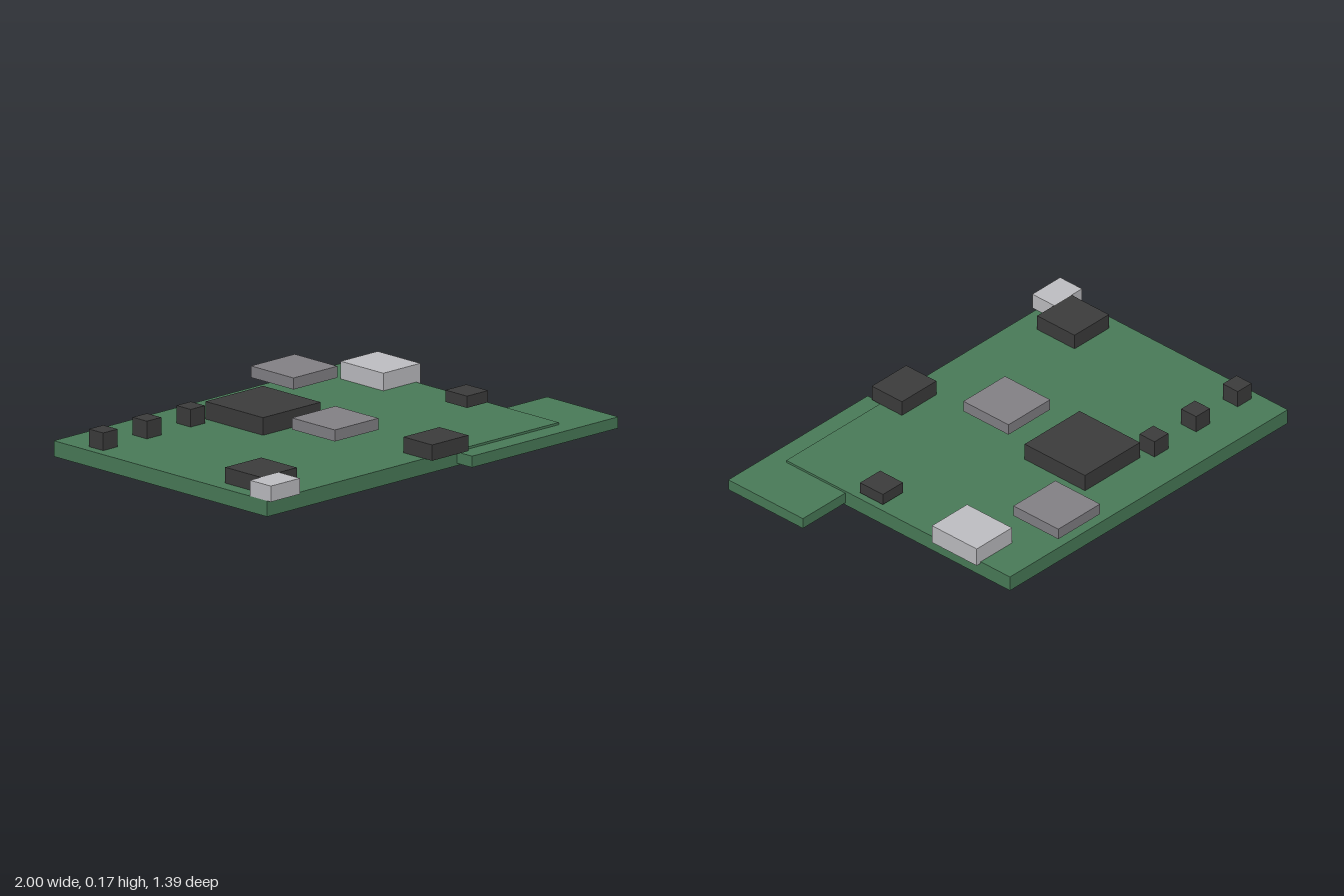
import * as THREE from 'three';

const material = (name, color) => {
  const m = new THREE.MeshStandardMaterial({ color });
  m.name = name;
  return m;
};

export function createModel() {
  const model = new THREE.Group();
  model.name = 'circuitBoard';
  const green = material('boardGreen', 0x4a7c59);
  const dark = material('chipDark', 0x3d3d3d);
  const grey = material('shieldGrey', 0x848287);
  const silver = material('connectorSilver', 0xc0c0c4);

  // Box given by its [min, max] extents along each axis
  const block = (name, mat, [x0, x1], [y0, y1], [z0, z1]) => {
    const mesh = new THREE.Mesh(new THREE.BoxGeometry(x1 - x0, y1 - y0, z1 - z0), mat);
    mesh.position.set((x0 + x1) / 2, (y0 + y1) / 2, (z0 + z1) / 2);
    mesh.name = name;
    model.add(mesh);
  };

  // Boards
  block('mainBoard', green, [-1, 0.735], [0, 0.07], [-0.695, 0.605]);
  block('sideBoard', green, [0.13, 1], [0.01, 0.06], [0.262, 0.695]);

  // Dark chips
  block('processor', dark, [-0.305, 0.038], [0.07, 0.148], [-0.483, -0.132]);
  block('cornerChip', dark, [-0.935, -0.72], [0.07, 0.14], [0.283, 0.5]);
  block('frontChip', dark, [-0.065, 0.15], [0.07, 0.14], [0.477, 0.652]);
  block('smallChip', dark, [0.587, 0.712], [0.08, 0.132], [0.065, 0.197]);

  // Row of capacitors along the back
  for (let i = 0; i < 3; i++) {
    const x = -0.914 + i * 0.26;
    block(`capacitor${i + 1}`, dark, [x - 0.043, x + 0.043], [0.07, 0.148], [-0.525, -0.438]);
  }

  // Raised metal shields, held clear of the board
  block('centreShield', grey, [-0.263, -0.003], [0.115, 0.166], [0, 0.262]);
  block('backShield', grey, [0.172, 0.433], [0.115, 0.166], [-0.695, -0.435]);

  // Edge connectors
  block('sideConnector', silver, [0.54, 0.76], [0.062, 0.148], [-0.525, -0.265]);
  block('cornerConnector', silver, [-1, -0.826], [0.07, 0.14], [0.5, 0.627]);

  return model;
}
